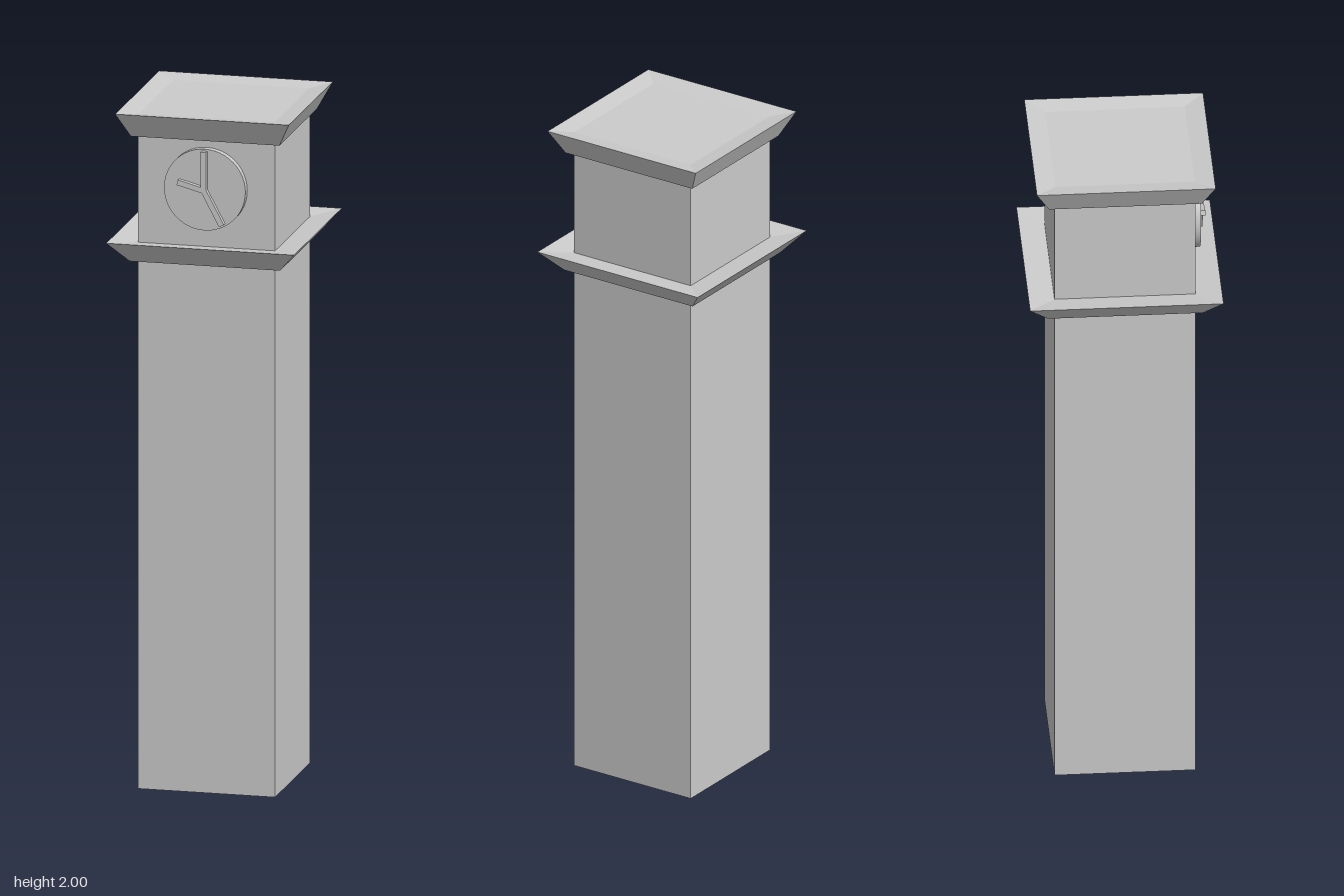
import * as THREE from 'three';

const mat = new THREE.MeshStandardMaterial({ color: 0xcccccc });
const flatMat = new THREE.MeshStandardMaterial({ color: 0xcccccc, flatShading: true });

function addMesh(group, name, geometry, material = mat) {
  const mesh = new THREE.Mesh(geometry, material);
  mesh.name = name;
  group.add(mesh);
  return mesh;
}

// Square moulding: sweeps a [half width, height] profile round four sides.
function squareLathe(profile) {
  const points = profile.map(([half, y]) => new THREE.Vector2(half * Math.SQRT2, y));
  const geometry = new THREE.LatheGeometry(points, 4, Math.PI / 4).toNonIndexed();
  geometry.computeVertexNormals();
  return geometry;
}

// One outline joining all hands at the hub; each hand is [angle in degrees, length].
function handsShape(hands, w) {
  const points = [];
  hands.forEach(([deg, length], i) => {
    const a = THREE.MathUtils.degToRad(deg);
    const next = i + 1 < hands.length ? hands[i + 1][0] : hands[0][0] + 360;
    const half = THREE.MathUtils.degToRad(next - deg) / 2;
    const c = Math.cos(a), s = Math.sin(a), r = w / Math.sin(half);
    points.push(
      new THREE.Vector2(c * length + s * w, s * length - c * w),
      new THREE.Vector2(c * length - s * w, s * length + c * w),
      new THREE.Vector2(Math.cos(a + half) * r, Math.sin(a + half) * r),
    );
  });
  return new THREE.Shape(points);
}

export function createModel() {
  const tower = new THREE.Group();
  tower.name = 'clockTower';

  // Square shaft running up through both cornices
  addMesh(tower, 'shaft', new THREE.BoxGeometry(0.404, 1.96, 0.404)).position.y = 0.98;

  // Ledge below the clock, its top dipping slightly towards the wall
  addMesh(tower, 'ledge', squareLathe([
    [0.2, 1.56], [0.222, 1.56], [0.277, 1.623], [0.2, 1.612],
  ]), flatMat);

  // Roof cornice with a shallow sunken top
  addMesh(tower, 'roofCornice', squareLathe([
    [0.2, 1.928], [0.219, 1.928], [0.256, 2], [0.2, 1.991], [0, 1.991],
  ]), flatMat);

  // Clock on the front wall
  const clock = new THREE.Group();
  clock.name = 'clock';
  clock.position.set(0, 1.785, 0.2);
  tower.add(clock);

  const dial = new THREE.CylinderGeometry(0.12, 0.12, 0.032, 48);
  dial.rotateX(Math.PI / 2);
  addMesh(clock, 'dial', dial).position.z = 0.008;

  const hands = handsShape([[90, 0.114], [165, 0.08], [298, 0.113]], 0.008);
  const handsGeometry = new THREE.ExtrudeGeometry(hands, { depth: 0.018, bevelEnabled: false });
  addMesh(clock, 'hands', handsGeometry).position.z = 0.021;

  return tower;
}
